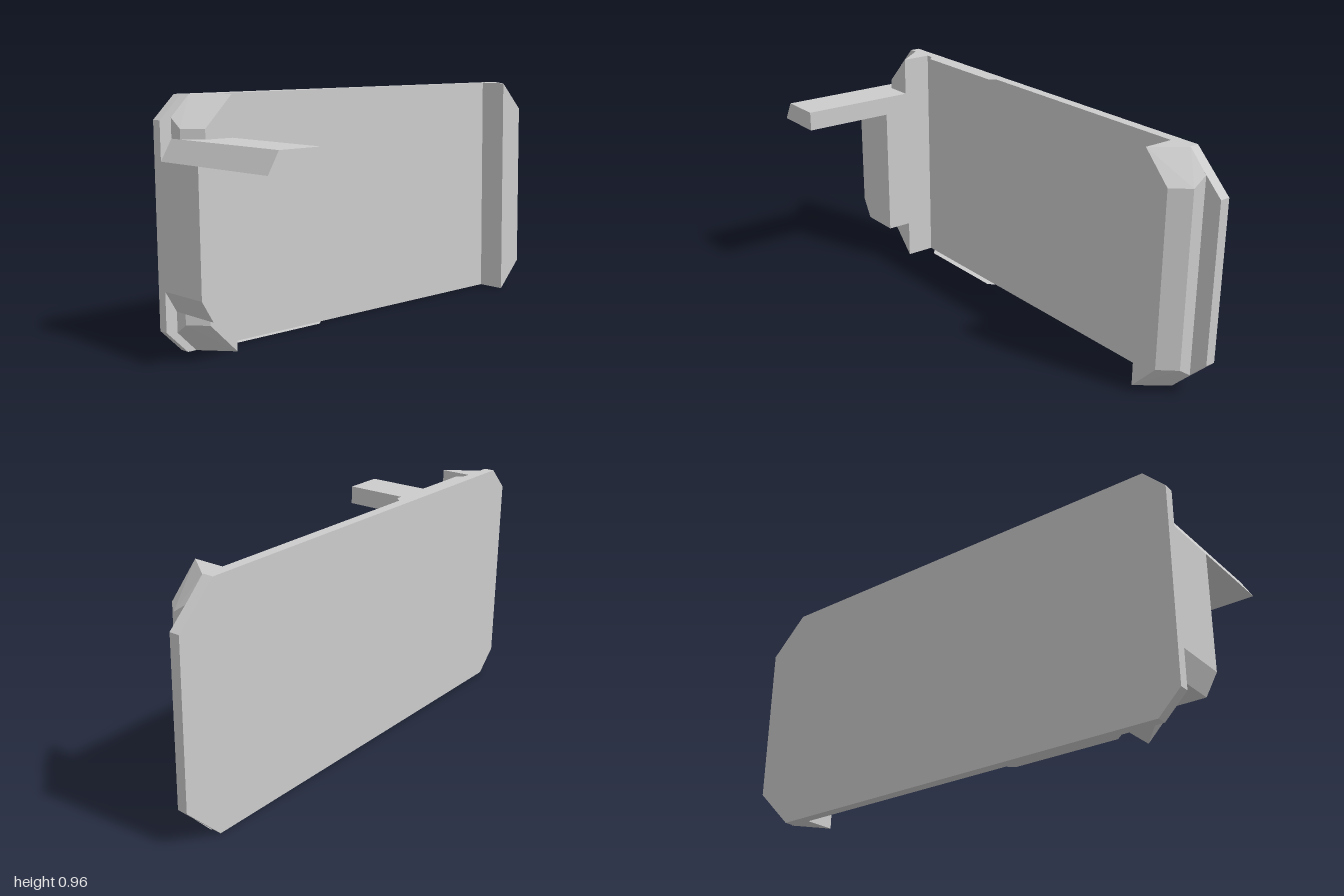
import * as THREE from 'three';
import { ConvexGeometry } from 'three/addons/geometries/ConvexGeometry.js';

const H = 0.96;
const BACK = -0.33;
const FACE = -0.288;

const grey = new THREE.MeshStandardMaterial({ color: 0xcccccc, flatShading: true });
const greyThin = new THREE.MeshStandardMaterial({ color: 0xcccccc, flatShading: true, side: THREE.DoubleSide });

const outline = (pts) => new THREE.Shape(pts.map(([x, y]) => new THREE.Vector2(x, y)));

// Extrude an x/y outline between two z depths
function slab(name, pts, z0, z1) {
  const geo = new THREE.ExtrudeGeometry(outline(pts), { depth: z1 - z0, bevelEnabled: false });
  geo.translate(0, 0, z0);
  const mesh = new THREE.Mesh(geo, grey);
  mesh.name = name;
  return mesh;
}

// Upright rail with its corners cut diagonally, the same at top and bottom
function rail(name, side, inner, edge, outer, backTop) {
  const top = [
    [inner, H, FACE], [inner, H, -0.163],
    [edge, 0.84, -0.163], [outer, 0.84, -0.232],
    [outer, 0.878, FACE], [backTop, H, FACE],
  ];
  const pts = top.flatMap(([x, y, z]) => [
    new THREE.Vector3(side * x, y, z),
    new THREE.Vector3(side * x, H - y, z),
  ]);
  const mesh = new THREE.Mesh(new ConvexGeometry(pts), grey);
  mesh.name = name;
  return mesh;
}

export function createModel() {
  const model = new THREE.Group();
  model.name = 'wallPanel';

  // Main panel with clipped corners
  model.add(slab('panel', [
    [-0.91, 0], [0.84, 0], [1, 0.155], [1, 0.808],
    [0.84, H], [-0.91, H], [-1, 0.87], [-1, 0.09],
  ], BACK, FACE));

  // Chamfered rails on both sides
  model.add(rail('leftRail', 1, 0.75, 0.865, 0.925, 0.845));
  model.add(rail('rightRail', -1, 0.775, 0.893, 0.953, 0.873));

  // Upright fin, and the arm reaching forward above it
  model.add(slab('fin', [
    [-1, 0.245], [-0.953, 0.162], [-0.775, 0.162], [-0.775, 0.722], [-1, 0.722],
  ], FACE, -0.057));
  model.add(slab('arm', [
    [-1, 0.722], [-0.775, 0.722], [-0.775, 0.802], [-0.953, 0.802],
  ], FACE, 0.33));

  // Thin lips along the top and bottom edges
  for (const [name, y] of [['topLip', H], ['bottomLip', 0]]) {
    const geo = new THREE.ShapeGeometry(outline([
      [-0.745, -FACE], [-0.715, 0.262], [-0.285, 0.262], [-0.26, -FACE],
    ]));
    geo.rotateX(-Math.PI / 2);
    geo.translate(0, y, 0);
    const lip = new THREE.Mesh(geo, greyThin);
    lip.name = name;
    model.add(lip);
  }

  return model;
}
